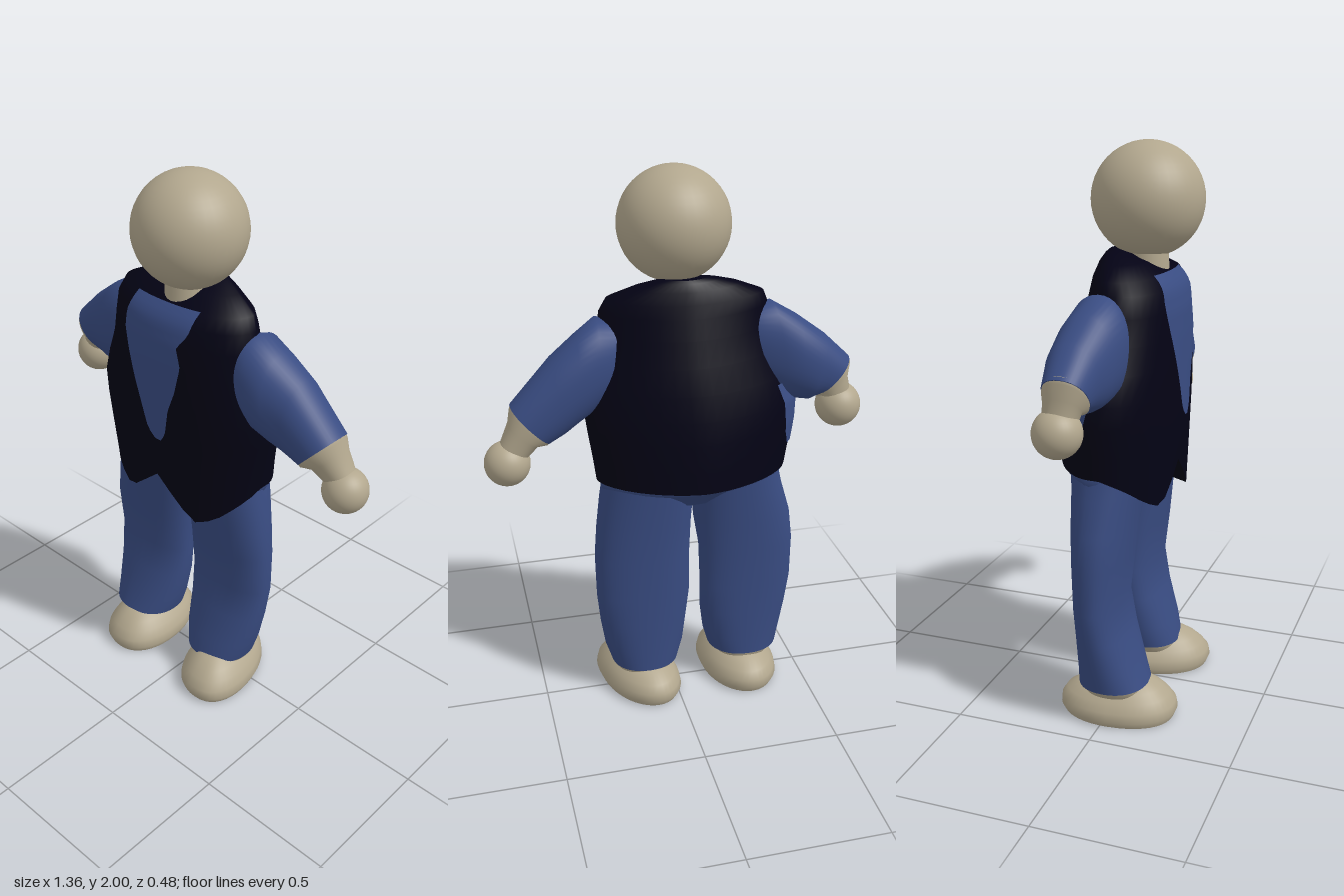
import * as THREE from 'three';

const SEG = 40;
const CHEST = 2.2, BACK = 1.65;

// Each section: [ax, ay, bx, by, zBack, zFront] = ends of its cross axis and its depth range.
// The roundness may differ between the front half and the back half.
function ringPoint(s, t, front, back) {
  const n = Math.sin(t) < 0 ? back : front;
  const bend = (v) => Math.sign(v) * Math.abs(v) ** (2 / n);
  const c = bend(Math.cos(t)) / 2, k = bend(Math.sin(t)) / 2;
  return [
    (s[0] + s[2]) / 2 + (s[0] - s[2]) * c,
    (s[1] + s[3]) / 2 + (s[1] - s[3]) * c,
    (s[4] + s[5]) / 2 + (s[5] - s[4]) * k,
  ];
}

// Closed skin through the sections, with crisp flat end caps.
function loft(sections, front = 2, back = front, edit = null) {
  const pos = [], idx = [];
  const rings = sections.map((s, i) => Array.from({ length: SEG }, (_, j) => {
    const p = ringPoint(s, (j / SEG) * Math.PI * 2, front, back);
    return edit ? edit(p, i) : p;
  }));
  rings.forEach((ring) => ring.forEach((p) => pos.push(...p)));
  for (let i = 0; i < rings.length - 1; i++) {
    for (let j = 0; j < SEG; j++) {
      const a = i * SEG + j, b = i * SEG + ((j + 1) % SEG);
      idx.push(a, a + SEG, b, b, a + SEG, b + SEG);
    }
  }
  [rings[0], rings[rings.length - 1]].forEach((ring, end) => {
    const base = pos.length / 3;
    ring.forEach((p) => pos.push(...p));
    pos.push(...[0, 1, 2].map((k) => ring.reduce((sum, p) => sum + p[k], 0) / SEG));
    for (let j = 0; j < SEG; j++) {
      const a = base + j, b = base + ((j + 1) % SEG), c = base + SEG;
      if (end) idx.push(a, c, b); else idx.push(a, b, c);
    }
  });
  return build(pos, idx);
}

function build(pos, idx) {
  const g = new THREE.BufferGeometry();
  g.setAttribute('position', new THREE.Float32BufferAttribute(pos, 3));
  g.setIndex(idx);
  g.computeVertexNormals();
  return g;
}

// Piecewise linear lookup in rows sorted by their first value.
function sample(rows, v) {
  let i = 0;
  while (i < rows.length - 2 && v > rows[i + 1][0]) i++;
  const t = THREE.MathUtils.clamp((v - rows[i][0]) / (rows[i + 1][0] - rows[i][0]), 0, 1);
  return rows[i].map((a, k) => a + (rows[i + 1][k] - a) * t);
}

// y, right x, left x, back z, front z
const level = ([y, x0, x1, zb, zf]) => [x1, y, x0, y, zb, zf];
const torsoRows = [
  [0.86, -0.41, 0.285, -0.238, 0.175],
  [1.0, -0.425, 0.295, -0.236, 0.185],
  [1.1, -0.44, 0.31, -0.228, 0.187],
  [1.18, -0.445, 0.32, -0.215, 0.187],
  [1.27, -0.415, 0.305, -0.199, 0.187],
  [1.36, -0.375, 0.28, -0.174, 0.186],
  [1.45, -0.355, 0.262, -0.149, 0.182],
  [1.52, -0.345, 0.252, -0.13, 0.168],
  [1.565, -0.325, 0.23, -0.117, 0.137],
  [1.605, -0.235, 0.145, -0.105, 0.075],
  [1.63, -0.16, 0.08, -0.09, 0.015],
  [1.64, -0.11, 0.04, -0.08, -0.01],
];
const hemRows = [[-0.41, 0.87], [-0.21, 0.78], [-0.06, 0.91], [0.1, 0.76], [0.28, 0.83]];

function hem(p, i) {
  if (i > 0) return p;
  const front = THREE.MathUtils.clamp(p[2] / 0.13, 0, 1);
  return [p[0], THREE.MathUtils.lerp(0.92, sample(hemRows, p[0])[1], front), p[2]];
}

function torsoFront(x, y) {
  const [, x0, x1, zb, zf] = sample(torsoRows, y);
  const u = Math.min(1, Math.abs((2 * x - x0 - x1) / (x1 - x0)));
  return (zb + zf) / 2 + ((zf - zb) / 2) * (1 - u ** CHEST) ** (1 / CHEST);
}

// Thin skin over the torso: edges hold [y, from, to], place turns (across, y) into a point.
function patch(edges, place) {
  const pos = [], idx = [], rows = 24, cols = 12;
  const low = edges[0][0], high = edges[edges.length - 1][0];
  for (let r = 0; r <= rows; r++) {
    const y = low + ((high - low) * r) / rows;
    const [, from, to] = sample(edges, y);
    for (let c = 0; c <= cols; c++) {
      pos.push(...place(from + ((to - from) * c) / cols, y));
      if (r < rows && c < cols) {
        const a = r * (cols + 1) + c, b = a + cols + 1;
        idx.push(a, a + 1, b, a + 1, b + 1, b);
      }
    }
  }
  return build(pos, idx);
}

const ball = (r, x, y, z) => new THREE.SphereGeometry(r, 36, 24).translate(x, y, z);

export function createModel() {
  const model = new THREE.Group();
  const material = (name, color, side = THREE.FrontSide) => {
    const m = new THREE.MeshStandardMaterial({ color, side });
    m.name = name;
    return m;
  };
  const skin = material('beige', 0xb2a78e);
  const cloth = material('blue cloth', 0x394c82, THREE.DoubleSide);
  const navy = material('dark navy', 0x030214);
  const add = (name, geometry, mat) => {
    const mesh = new THREE.Mesh(geometry, mat);
    mesh.name = name;
    model.add(mesh);
  };

  // Head and body
  add('head', ball(0.195, -0.015, 1.805, 0.045), skin);
  add('neck', new THREE.CylinderGeometry(0.066, 0.076, 0.15, 24).translate(-0.03, 1.61, 0.05), skin);
  add('vest', loft(torsoRows.map(level), CHEST, BACK, hem), navy);
  add('shirtFront', patch([
    [1.07, -0.045, -0.02], [1.1, -0.08, 0], [1.2, -0.115, 0.015], [1.28, -0.145, 0.045],
    [1.38, -0.18, 0.068], [1.45, -0.2, 0.05], [1.5, -0.2, 0.09], [1.572, -0.18, 0.1],
  ], (x, y) => [x, y, torsoFront(x, y) + 0.008]), cloth);
  // Shirt showing under the right arm
  add('rightUnderarm', patch([
    [1.02, 0.25, 0.4], [1.07, 0.15, 0.5], [1.15, 0, 0.55], [1.25, -0.1, 0.6],
  ], (t, y) => {
    const p = ringPoint(level(sample(torsoRows, y)), Math.PI + t, CHEST, BACK);
    return [p[0] - 0.006, y, p[2] - 0.004];
  }), cloth);
  // Seat of the trousers, flaring out to close the underside of the vest
  add('hips', loft([
    [0.81, -0.3, 0.19, -0.1, 0.08], [0.87, -0.385, 0.262, -0.15, 0.1],
    [0.912, -0.4, 0.275, -0.22, 0.13], [1.0, -0.39, 0.26, -0.2, 0.13],
  ].map(level), CHEST, BACK), cloth);

  // Sleeves, running from shoulder to cuff
  add('rightSleeve', loft([
    [-0.27, 1.5, -0.31, 1.22, -0.08, 0.08], [-0.35, 1.53, -0.4, 1.17, -0.118, 0.1],
    [-0.44, 1.478, -0.46, 1.165, -0.128, 0.08], [-0.54, 1.405, -0.48, 1.165, -0.128, 0.06],
    [-0.635, 1.315, -0.515, 1.18, -0.11, 0.045],
  ], 2.2), cloth);
  add('leftSleeve', loft([
    [0.24, 1.22, 0.2, 1.49, -0.08, 0.1], [0.3, 1.17, 0.265, 1.51, -0.11, 0.12],
    [0.35, 1.14, 0.34, 1.457, -0.117, 0.103], [0.39, 1.115, 0.43, 1.387, -0.12, 0.08],
    [0.445, 1.09, 0.575, 1.23, -0.12, 0.06],
  ], 2.2), cloth);

  // Forearms, filling the cuffs and narrowing to round hands
  add('rightForearm', loft([
    [-0.625, 1.325, -0.505, 1.19, -0.107, 0.042], [-0.638, 1.305, -0.52, 1.172, -0.108, 0.043],
    [-0.63, 1.25, -0.53, 1.175, -0.105, 0.02], [-0.645, 1.18, -0.545, 1.135, -0.105, 0.005],
    [-0.65, 1.14, -0.555, 1.11, -0.1, 0],
  ], 2.2), skin);
  add('rightHand', ball(0.082, -0.602, 1.135, -0.052), skin);
  add('leftForearm', loft([
    [0.435, 1.1, 0.565, 1.24, -0.117, 0.057], [0.453, 1.085, 0.577, 1.218, -0.118, 0.058],
    [0.487, 1.085, 0.587, 1.17, -0.11, 0.03], [0.53, 1.045, 0.615, 1.11, -0.105, 0.005],
    [0.555, 1.01, 0.64, 1.06, -0.1, 0],
  ], 2.2), skin);
  add('leftHand', ball(0.08, 0.597, 1.03, -0.052), skin);

  // Trouser legs, from cuff to hip
  add('rightLeg', loft([
    [0.135, -0.415, -0.145, -0.11, 0.14], [0.2, -0.425, -0.125, -0.11, 0.115],
    [0.32, -0.44, -0.105, -0.112, 0.075], [0.44, -0.452, -0.1, -0.115, 0.05],
    [0.6, -0.455, -0.095, -0.122, 0.07], [0.72, -0.44, -0.075, -0.13, 0.08],
    [0.84, -0.405, -0.065, -0.14, 0.1], [0.95, -0.38, -0.05, -0.15, 0.12],
  ].map(level), 2.2), cloth);
  add('leftLeg', loft([
    [0.12, -0.015, 0.24, -0.11, 0.135], [0.2, -0.035, 0.265, -0.11, 0.115],
    [0.32, -0.045, 0.285, -0.112, 0.075], [0.44, -0.055, 0.298, -0.115, 0.05],
    [0.6, -0.055, 0.3, -0.122, 0.07], [0.72, -0.06, 0.29, -0.13, 0.085],
    [0.84, -0.07, 0.275, -0.14, 0.1], [0.95, -0.07, 0.255, -0.15, 0.12],
  ].map(level), 2.2), cloth);

  // Rounded shoes (the left one toed out) and the ankles that fill the trouser cuffs
  for (const [side, x, toeOut, cuff] of [['right', -0.268, 0.06, 0.135], ['left', 0.127, 0.18, 0.12]]) {
    add(side + 'Shoe', loft([
      [0.002, 0.135, -0.175, 0.225], [0.025, 0.145, -0.187, 0.235], [0.055, 0.138, -0.185, 0.23],
      [0.085, 0.12, -0.165, 0.208], [0.112, 0.095, -0.12, 0.18], [0.135, 0.065, -0.06, 0.145],
      [0.148, 0.03, 0, 0.1],
    ].map(([y, w, zb, zf]) => level([y, x - w, x + w, zb, zf])), 2.3, 2,
    (p) => [p[0] + toeOut * p[2], p[1], p[2]]), skin);
    add(side + 'Ankle', loft([
      [cuff - 0.035, 0.1, -0.09, 0.12], [cuff - 0.006, 0.122, -0.105, 0.13], [cuff + 0.01, 0.12, -0.1, 0.125],
    ].map(([y, w, zb, zf]) => level([y, x - 0.012 - w, x - 0.012 + w, zb, zf])), 2.2), skin);
  }
  return model;
}
